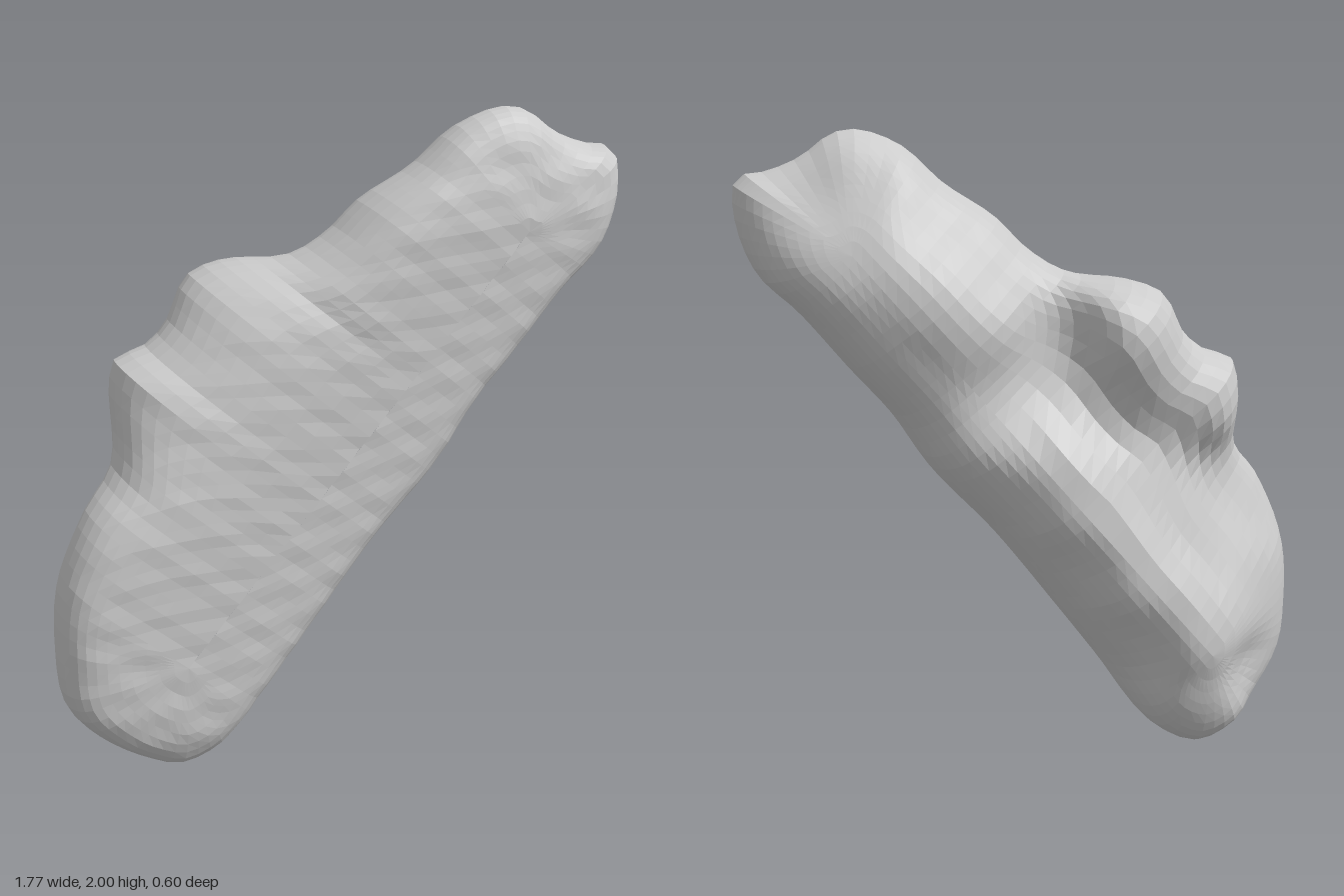
import * as THREE from 'three';
import { mergeVertices } from 'three/addons/utils/BufferGeometryUtils.js';

// Rim of the slab, counter-clockwise from the front: x, y and depth of the widest line
const RIM = [
  [-0.53, 0, 0.07], [-0.4, 0.06, 0.1], [-0.25, 0.26, 0.16], [-0.1, 0.46, 0.17], [0.1, 0.72, 0.17],
  [0.3, 0.94, 0.17], [0.42, 1.12, 0.17], [0.55, 1.27, 0.17], [0.7, 1.45, 0.17], [0.82, 1.57, 0.17],
  [0.88, 1.74, 0.17], [0.87, 1.86, 0.16], [0.78, 1.88, 0.16], [0.68, 1.92, 0.16], [0.58, 1.99, 0.16],
  [0.5, 2.0, 0.16], [0.37, 1.95, 0.15], [0.25, 1.84, 0.12], [0.1, 1.74, 0.08], [0, 1.64, 0.06],
  [-0.12, 1.57, 0.03], [-0.3, 1.55, -0.04], [-0.4, 1.51, -0.05], [-0.48, 1.38, 0], [-0.55, 1.32, 0],
  [-0.64, 1.29, 0], [-0.66, 1.22, 0], [-0.68, 1.0, 0.07], [-0.78, 0.87, 0.12], [-0.87, 0.66, 0.13],
  [-0.89, 0.45, 0.14], [-0.87, 0.27, 0.14], [-0.75, 0.12, 0.1], [-0.62, 0.03, 0.07],
];

// Back of the slab: x, y, z
const RELIEF = [
  // long lower ridge
  [-0.53, 0.1, -0.2], [-0.52, 0.26, -0.25], [-0.48, 0.45, -0.33], [-0.4, 0.57, -0.31], [-0.28, 0.7, -0.29],
  [-0.16, 0.83, -0.28], [-0.04, 0.98, -0.27], [0.07, 1.09, -0.22], [0.15, 1.2, -0.14],
  // slopes either side of the ridge
  [-0.62, 0.48, -0.24], [-0.74, 0.3, -0.1], [-0.76, 0.52, -0.1], [-0.6, 0.68, -0.18], [-0.7, 0.8, -0.07],
  [-0.45, 0.82, -0.2], [-0.32, 0.95, -0.2], [-0.28, 0.4, -0.2], [-0.08, 0.66, -0.19], [0.12, 0.9, -0.18],
  // hollows around the lumps
  [-0.56, 0.94, -0.07], [-0.4, 1.07, -0.11], [-0.2, 1.18, -0.12], [-0.06, 1.4, -0.08], [0.02, 1.25, -0.1],
  // two lumps on the upper left
  [-0.35, 1.35, -0.27], [-0.27, 1.44, -0.26], [-0.38, 1.23, -0.22], [-0.58, 1.16, -0.2], [-0.48, 1.2, -0.19],
  // upper end
  [0.18, 1.4, -0.18], [0.3, 1.5, -0.19], [0.42, 1.6, -0.15], [0.52, 1.71, -0.08], [0.57, 1.84, 0.02],
  [0.66, 1.66, -0.08], [0.78, 1.76, 0.01], [0.7, 1.84, 0.06], [0.4, 1.3, -0.13], [0.56, 1.48, -0.11],
  [0.12, 1.6, -0.1], [0.32, 1.75, -0.05],
];

// Back depth: blend of the relief points weighted by nearness
function backDepth(x, y) {
  let sum = 0, total = 0;
  for (const [px, py, pz] of RELIEF) {
    const w = Math.exp(-((x - px) ** 2 + (y - py) ** 2) / 0.014);
    sum += w * pz;
    total += w;
  }
  return sum / total;
}

// Slight unevenness of the flat front face
const ripple = (x, y) =>
  0.003 * Math.sin(13 * x + 47 * y) * Math.sin(19 * x - 11 * y);

function slabGeometry() {
  const N = 112, ROWS = 13;
  const curve = new THREE.CatmullRomCurve3(RIM.map(p => new THREE.Vector3(...p)), true);
  const rim = curve.getSpacedPoints(N).slice(0, N);
  const spine = new THREE.Line3(new THREE.Vector3(-0.52, 0.4, 0), new THREE.Vector3(0.55, 1.65, 0));
  const feet = rim.map(p =>
    spine.closestPointToPoint(new THREE.Vector3(p.x, p.y, 0), true, new THREE.Vector3()));

  // Loops run from the front spine out to the rim and in again to the back spine
  const positions = [], index = [];
  for (let r = 0; r <= 2 * ROWS; r++) {
    const front = r <= ROWS;
    const t = r === ROWS ? 1 : Math.sin((front ? r : 2 * ROWS - r) / ROWS * Math.PI / 2);
    rim.forEach((p, j) => {
      const x = THREE.MathUtils.lerp(feet[j].x, p.x, t);
      const y = THREE.MathUtils.lerp(feet[j].y, p.y, t);
      let goal, rise;
      if (front) {
        goal = 0.292 - 0.05 * THREE.MathUtils.smoothstep(y, 1.65, 2) + ripple(x, y);
        rise = Math.sqrt(1 - t ** (3 + 6 * THREE.MathUtils.clamp(p.z / 0.16, 0, 1)));
      } else {
        // The foot and the lumps on the upper left have steeper sides
        const steep = Math.max(1 - THREE.MathUtils.smoothstep(p.y, 0.02, 0.3),
          THREE.MathUtils.smoothstep(-p.z, -0.1, 0));
        goal = backDepth(x, y);
        rise = (1 - t ** (3.4 + 3.5 * steep)) ** 0.6;
      }
      positions.push(x, y, THREE.MathUtils.lerp(p.z, goal, rise));
    });
  }
  for (let r = 0; r < 2 * ROWS; r++) {
    for (let j = 0; j < N; j++) {
      const k = (j + 1) % N;
      const a = r * N + j, b = a + N, c = (r + 1) * N + k, d = r * N + k;
      index.push(a, b, c, a, c, d);
    }
  }
  const geometry = new THREE.BufferGeometry();
  geometry.setAttribute('position', new THREE.Float32BufferAttribute(positions, 3));
  geometry.setIndex(index);
  const merged = mergeVertices(geometry, 1e-4);
  merged.computeVertexNormals();
  return merged;
}

export function createModel() {
  const group = new THREE.Group();
  const material = new THREE.MeshStandardMaterial({ color: 0xcccccc, flatShading: true });
  const body = new THREE.Mesh(slabGeometry(), material);
  body.name = 'carvedSlab';
  group.add(body);
  return group;
}
